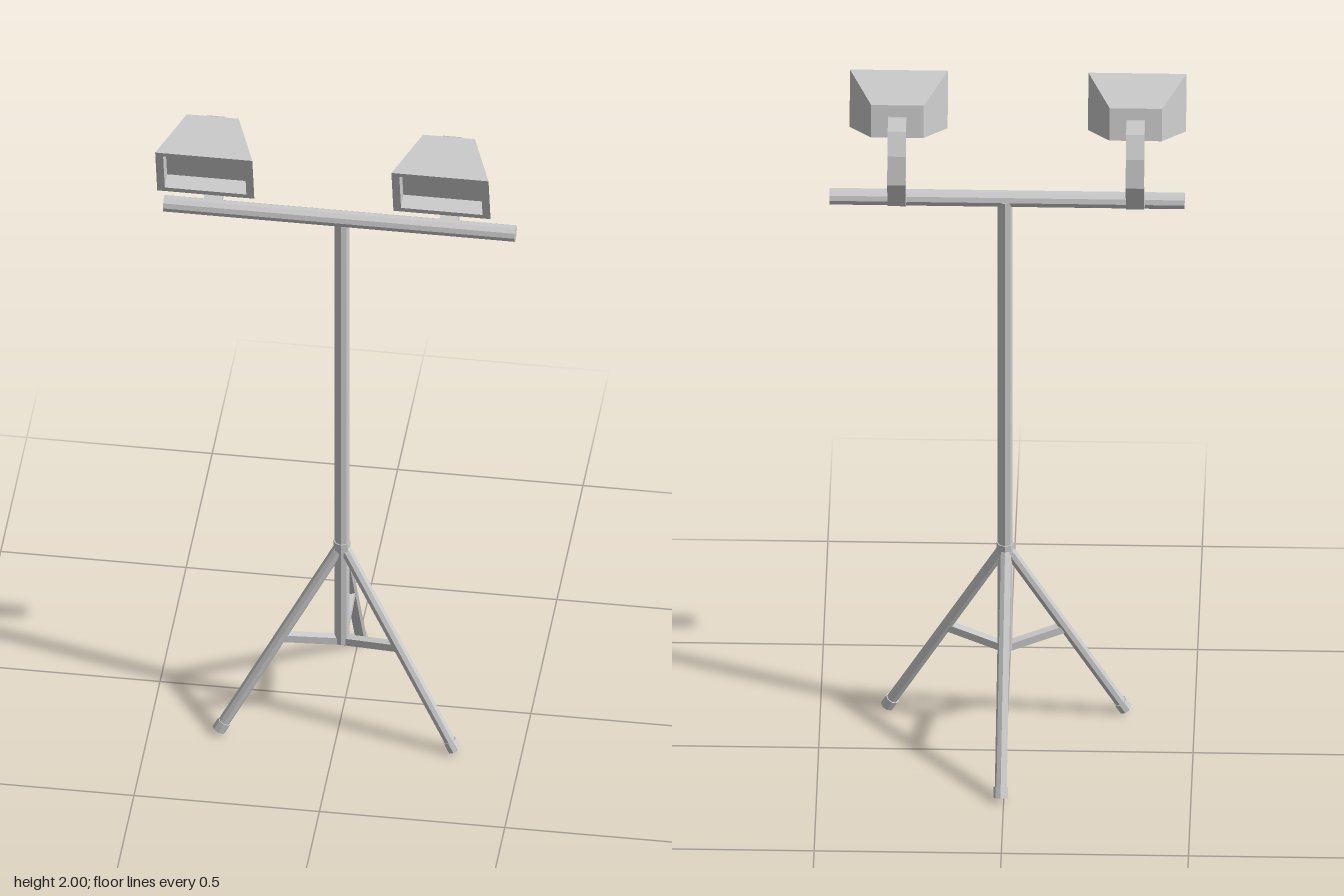
import * as THREE from 'three';

const material = new THREE.MeshStandardMaterial({ color: 0xcccccc, flatShading: true });
const UP = new THREE.Vector3(0, 1, 0);
const V = (x, y, z) => new THREE.Vector3(x, y, z);

function part(name, geometry) {
  const mesh = new THREE.Mesh(geometry, material);
  mesh.name = name;
  return mesh;
}

// Move an upright mesh so that it spans from a to b
function span(mesh, a, b) {
  mesh.position.copy(a).lerp(b, 0.5);
  mesh.quaternion.setFromUnitVectors(UP, b.clone().sub(a).normalize());
  return mesh;
}

function rod(name, a, b, radius, sides = 8) {
  return span(part(name, new THREE.CylinderGeometry(radius, radius, a.distanceTo(b), sides)), a, b);
}

// Skin four-cornered rings, closing the first and the last
function loftRings(rings) {
  const index = [0, 2, 1, 0, 3, 2];
  for (let r = 0; r < rings.length - 1; r++) {
    for (let i = 0; i < 4; i++) {
      const a = r * 4 + i, b = r * 4 + (i + 1) % 4;
      index.push(a, b, b + 4, a, b + 4, a + 4);
    }
  }
  const e = (rings.length - 1) * 4;
  index.push(e, e + 1, e + 2, e, e + 2, e + 3);
  const geometry = new THREE.BufferGeometry();
  geometry.setAttribute('position', new THREE.Float32BufferAttribute(rings.flat(2), 3));
  geometry.setIndex(index);
  const flat = geometry.toNonIndexed();
  flat.computeVertexNormals();
  return flat;
}

// Ring from half width, bottom [z, y] and top [z, y]
function ring(w, [zb, yb], [zt, yt]) {
  return [[-w, yb, zb], [w, yb, zb], [w, yt, zt], [-w, yt, zt]];
}

// Flared housing with a recessed glass, face tipped slightly down
function housingGeometry() {
  return loftRings([
    ring(0.07, [0.068, 1.911], [0.09, 2.0]),
    ring(0.131, [0.225, 1.84], [0.264, 1.998]),
    ring(0.11, [0.229, 1.855], [0.261, 1.985]),
    ring(0.11, [0.185, 1.866], [0.217, 1.996]),
  ]);
}

// Curved flat strap, drawn as [z, y] and extruded across x
function armGeometry() {
  const path = [[0.1, 1.703], [0.012, 1.744], [-0.012, 1.82], [0.006, 1.894],
    [0.04, 1.947], [0.064, 1.963], [0.1, 1.947]].map(p => new THREE.Vector2(...p));
  const half = 0.013, width = 0.049;
  const side = s => path.map((p, i) => {
    const before = path[Math.max(i - 1, 0)], after = path[Math.min(i + 1, path.length - 1)];
    const t = after.clone().sub(before).normalize();
    return new THREE.Vector2(p.x - t.y * half * s, p.y + t.x * half * s);
  });
  const shape = new THREE.Shape([...side(1), ...side(-1).reverse()]);
  return new THREE.ExtrudeGeometry(shape, { depth: width, bevelEnabled: false })
    .translate(0, 0, -width / 2).rotateY(-Math.PI / 2);
}

export function createModel() {
  const group = new THREE.Group();
  const px = 0.004, pz = 0.093;

  // Pole and crossbar
  group.add(rod('pole', V(px, 0.265, pz), V(px, 1.7, pz), 0.02));
  group.add(rod('crossbar', V(-0.475, 1.7, 0.1), V(0.473, 1.7, 0.1), 0.023, 10));

  // Tripod legs with feet and braces
  const hub = V(px, 0.595, pz);
  const collar = V(px, 0.27, pz);
  group.add(rod('hub', V(px, 0.575, pz), V(px, 0.605, pz), 0.023));
  const feet = [V(px - 0.318, 0.01, 0.196), V(px + 0.318, 0.01, 0.196), V(0.008, 0.01, -0.247)];
  for (const foot of feet) {
    const leg = new THREE.Group();
    leg.name = 'leg';
    const ankle = foot.clone().lerp(hub, 0.045);
    leg.add(rod('legTube', foot.clone().lerp(hub, 0.01), hub, 0.016));
    leg.add(rod('foot', foot, ankle, 0.019));

    const joint = foot.clone().lerp(hub, 0.5);
    const brace = part('brace', new THREE.BoxGeometry(0.022, collar.distanceTo(joint), 0.022));
    // Build the brace along z so its sides stay upright
    brace.geometry.rotateX(Math.PI / 2);
    brace.position.copy(collar).lerp(joint, 0.5);
    brace.lookAt(joint);
    leg.add(brace);
    group.add(leg);
  }

  // Two floodlights on curved arms
  const housing = housingGeometry(), arm = armGeometry();
  for (const x of [-0.345, 0.292]) {
    const lamp = new THREE.Group();
    lamp.name = 'floodlight';
    lamp.position.x = x;
    lamp.add(part('lampHousing', housing), part('lampArm', arm));
    group.add(lamp);
  }
  return group;
}
